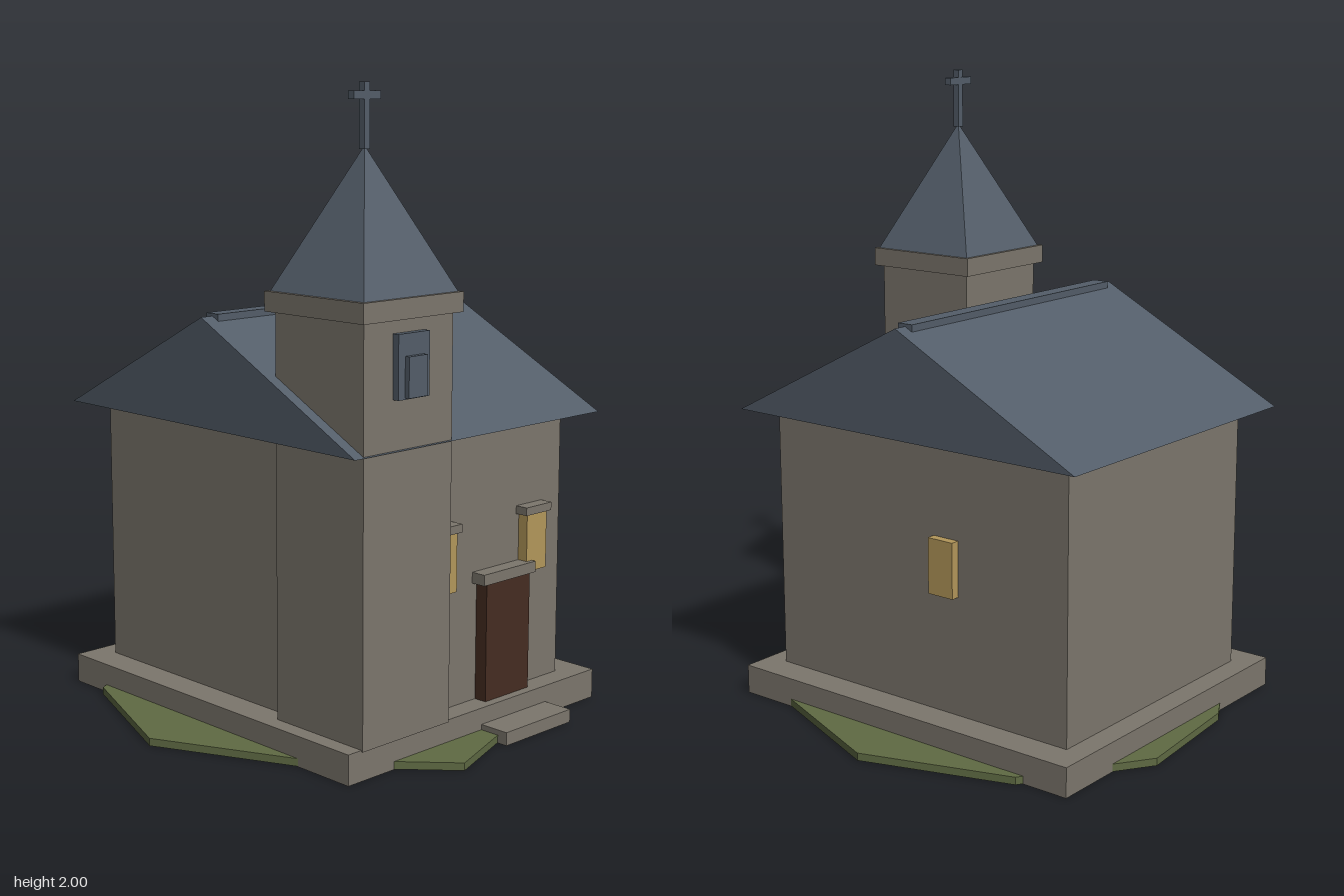
import * as THREE from 'three';

export function createModel() {
  const group = new THREE.Group();
  group.name = 'chapel';

  const material = (name, color) => {
    const m = new THREE.MeshStandardMaterial({ color });
    m.name = name;
    return m;
  };
  const stone = material('stone', 0x7c766c);
  const slate = material('slate', 0x535d69);
  const glow = material('window yellow', 0xb3975a);
  const wood = material('door brown', 0x452c21);
  const grass = material('grass', 0x5f6a43);

  const add = (name, geometry, mat) => {
    const mesh = new THREE.Mesh(geometry, mat);
    mesh.name = name;
    group.add(mesh);
    return mesh;
  };
  // Box given by its limits on each axis
  const box = (name, mat, [x0, x1], [y0, y1], [z0, z1]) => {
    const g = new THREE.BoxGeometry(x1 - x0, y1 - y0, z1 - z0);
    g.translate((x0 + x1) / 2, (y0 + y1) / 2, (z0 + z1) / 2);
    return add(name, g, mat);
  };
  const polygon = (points) => new THREE.Shape(points.map(([x, y]) => new THREE.Vector2(x, y)));

  // Irregular patch of grass, outlined in x and z
  const outline = [
    [0.755, -0.04], [0.57, 0.43], [0.23, 0.61], [-0.215, 0.765], [-0.535, 0.42],
    [-0.755, -0.04], [-0.57, -0.52], [-0.185, -0.73], [0.225, -0.77], [0.595, -0.52],
  ];
  const lawn = new THREE.ExtrudeGeometry(polygon(outline.map(([x, z]) => [x, -z])), { depth: 0.024, bevelEnabled: false });
  lawn.rotateX(-Math.PI / 2).translate(0, 0.001, 0);
  add('lawn', lawn, grass);

  // Base and nave
  box('plinth', stone, [-0.545, 0.575], [0, 0.095], [-0.69, 0.613]);
  box('doorStep', stone, [0.03, 0.335], [0, 0.042], [0.5, 0.715]);
  box('naveWalls', stone, [-0.445, 0.472], [0.09, 0.962], [-0.615, 0.54]);

  // Gable roof, extruded along x from its profile in -z and y
  const roof = new THREE.ExtrudeGeometry(
    polygon([[-0.623, 0.958], [0.7, 0.958], [0.04, 1.298]]),
    { depth: 1.09, bevelEnabled: false }
  );
  roof.rotateY(Math.PI / 2).translate(-0.53, 0, 0);
  add('roof', roof, slate);
  box('ridgeCap', slate, [-0.485, 0.515], [1.284, 1.306], [-0.068, -0.013]);

  // Tower with cornice and pyramid spire
  box('towerWalls', stone, [-0.492, -0.126], [0.09, 1.345], [0.252, 0.618]);
  box('towerCornice', stone, [-0.515, -0.105], [1.34, 1.4], [0.23, 0.64]);
  const spire = new THREE.ConeGeometry(0.193 * Math.SQRT2, 0.42, 4, 1).toNonIndexed();
  spire.rotateY(Math.PI / 4).translate(-0.309, 1.61, 0.435);
  spire.computeVertexNormals();
  add('spire', spire, slate);
  box('crossPost', slate, [-0.32, -0.298], [1.81, 2], [0.424, 0.446]);
  box('crossArm', slate, [-0.364, -0.254], [1.951, 1.975], [0.423, 0.447]);
  box('belfryFrame', slate, [-0.375, -0.247], [1.11, 1.3], [0.6, 0.64]);
  box('belfryShutter', slate, [-0.348, -0.272], [1.115, 1.235], [0.6, 0.656]);

  // Door with lintel
  box('door', wood, [0.08, 0.283], [0.095, 0.472], [0.52, 0.583]);
  box('doorLintel', stone, [0.06, 0.302], [0.472, 0.507], [0.52, 0.59]);

  // Front windows with lintels, and one window in the side wall
  for (const x of [-0.096, 0.323]) {
    box('frontWindow', glow, [x - 0.047, x + 0.047], [0.473, 0.66], [0.52, 0.575]);
    box('windowLintel', stone, [x - 0.06, x + 0.06], [0.658, 0.684], [0.52, 0.583]);
  }
  box('sideWindow', glow, [0.45, 0.5], [0.477, 0.655], [-0.204, -0.109]);

  return group;
}
